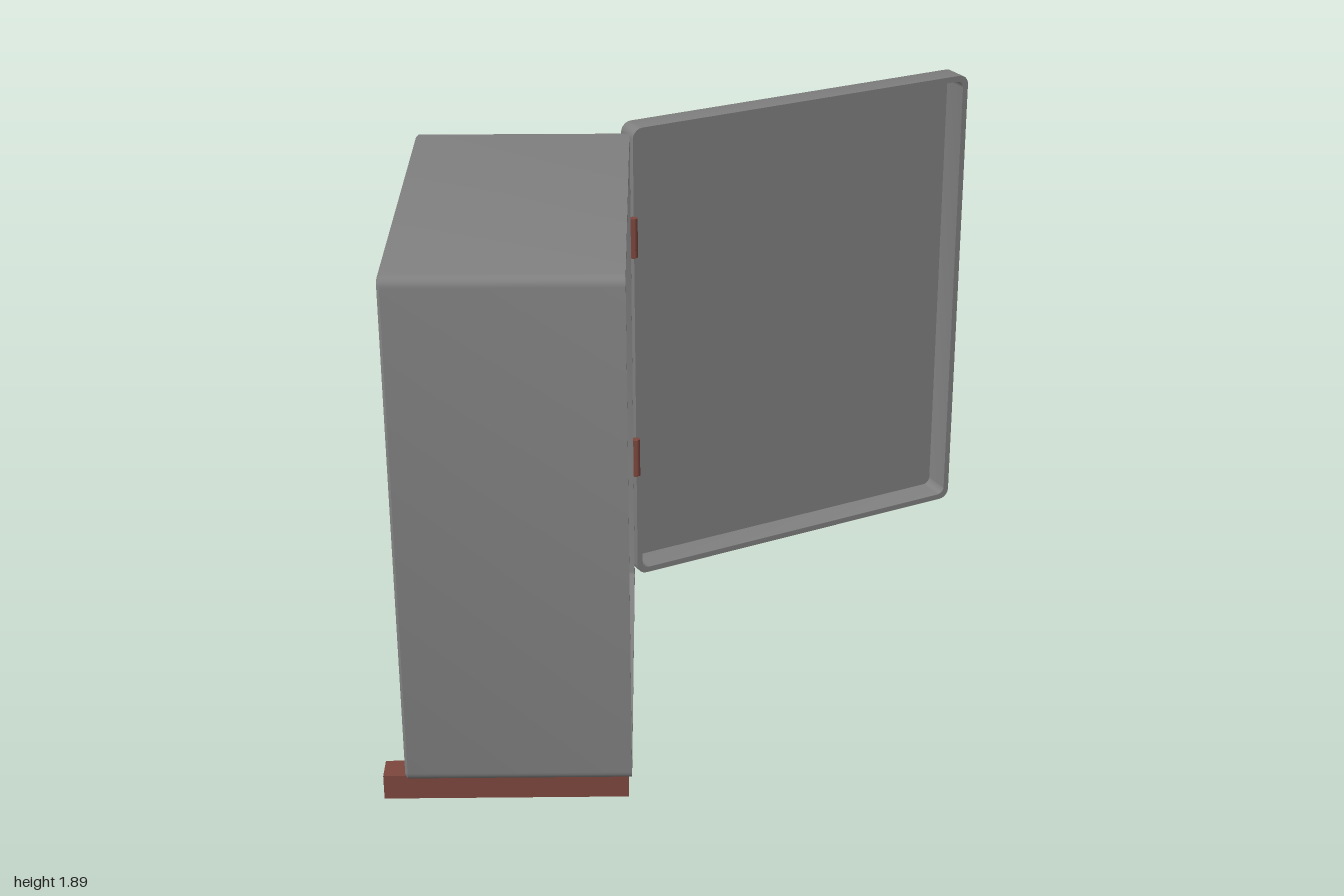
import * as THREE from 'three';
import { toCreasedNormals } from 'three/addons/utils/BufferGeometryUtils.js';

const mat = (name, color) => {
  const m = new THREE.MeshStandardMaterial({ color });
  m.name = name;
  return m;
};

export function createModel() {
  const grey = mat('grey steel', 0x808080);
  const navy = mat('dark slate', 0x3c3c54);
  const tan = mat('tan plastic', 0xd9bd92);
  const red = mat('red plastic', 0xb01014);
  const orange = mat('orange', 0xc87808);
  const blue = mat('blue cable', 0x3a76b0);
  const rust = mat('red brown primer', 0x7c463d);
  const brown = mat('brown cable', 0x8c7652);

  const add = (parent, name, geo, material, x = 0, y = 0, z = 0) => {
    const m = new THREE.Mesh(geo, material);
    m.name = name;
    m.position.set(x, y, z);
    parent.add(m);
    return m;
  };
  const group = (parent, name, x = 0, y = 0, z = 0) => {
    const g = new THREE.Group();
    g.name = name;
    g.position.set(x, y, z);
    parent.add(g);
    return g;
  };
  // box between two corners
  const block = (parent, name, material, [x0, x1], [y0, y1], [z0, z1]) =>
    add(parent, name, new THREE.BoxGeometry(x1 - x0, y1 - y0, z1 - z0), material,
      (x0 + x1) / 2, (y0 + y1) / 2, (z0 + z1) / 2);
  const poly = pts => new THREE.Shape(pts.map(p => new THREE.Vector2(...p)));
  const slab = (parent, name, shape, depth, material, x, y, z) =>
    add(parent, name, new THREE.ExtrudeGeometry(shape, { depth, bevelEnabled: false }), material, x, y, z);
  const disc = (parent, name, r, depth, material, x, y, z, sides = 24) =>
    add(parent, name, new THREE.CylinderGeometry(r, r, depth, sides).rotateX(Math.PI / 2), material, x, y, z);

  // corner-rounded rectangle, counter-clockwise
  const roundRect = (x0, x1, y0, y1, r, n = 5) => {
    const pts = [];
    [[x1 - r, y1 - r], [x0 + r, y1 - r], [x0 + r, y0 + r], [x1 - r, y0 + r]].forEach(([cx, cy], c) => {
      for (let i = 0; i <= n; i++) {
        const a = (c + i / n) * Math.PI / 2;
        pts.push([cx + r * Math.cos(a), cy + r * Math.sin(a)]);
      }
    });
    return pts;
  };
  // hollow tray: sections [inset, z, radius] run from the outside over the rim to the floor
  const tray = (x0, x1, y0, y1, sections) => {
    const pos = [], idx = [];
    let n = 0;
    for (const [s, z, r] of sections) {
      const ring = roundRect(x0 + s, x1 - s, y0 + s, y1 - s, r);
      n = ring.length;
      ring.forEach(([x, y]) => pos.push(x, y, z));
    }
    const last = sections.length - 1, c0 = n * (last + 1);
    for (const j of [0, last]) pos.push((x0 + x1) / 2, (y0 + y1) / 2, sections[j][1]);
    for (let i = 0; i < n; i++) {
      const k = (i + 1) % n;
      idx.push(c0, k, i, c0 + 1, last * n + i, last * n + k);
      for (let j = 0; j < last; j++) {
        const a = j * n + i, b = j * n + k;
        idx.push(a, b, b + n, a, b + n, a + n);
      }
    }
    const g = new THREE.BufferGeometry();
    g.setAttribute('position', new THREE.Float32BufferAttribute(pos, 3));
    g.setIndex(idx);
    return toCreasedNormals(g, 0.6);
  };
  // triangular warning sign facing +z
  const sign = (parent, size, border, fill, x, y, z) => {
    const g = group(parent, 'warningSign', x, y, z);
    const tri = s => poly([[-0.5 * s, -0.43 * s], [0.5 * s, -0.43 * s], [0.04 * s, 0.45 * s], [-0.04 * s, 0.45 * s]]);
    slab(g, 'signBorder', tri(size), 0.004, border, 0, 0, 0);
    slab(g, 'signFace', tri(size * 0.86), 0.003, fill, 0, -0.012 * size, 0.004);
    const bolt = [[0.08, 0.2], [0.01, 0.03], [0.1, 0.05], [-0.03, -0.2], [0, -0.02], [-0.1, -0.04], [0.03, 0.2]];
    slab(g, 'signBolt', poly(bolt.map(p => p.map(v => v * size))), 0.002, navy, 0, -0.02 * size, 0.007);
  };

  const model = new THREE.Group();
  model.name = 'electricalCabinet';

  // Cabinet frame: local x runs towards world -z, local z towards world +x
  const cab = group(model, 'cabinet');
  cab.rotation.y = Math.PI / 2;
  add(cab, 'housing', tray(-0.99, 0.29, 0.27, 1.89, [
    [0.008, -0.89, 0.022], [0, -0.882, 0.03], [0, -0.21, 0.03], [0.015, -0.21, 0.022],
    [0.015, -0.3, 0.022], [0.03, -0.3, 0.02], [0.03, -0.87, 0.02]]), grey);

  // Angle-iron feet
  for (const [x0, x1, leg] of [[-0.955, -0.87, -0.95], [0.165, 0.25, 0.245]]) {
    const foot = group(cab, 'foot');
    block(foot, 'footFlange', rust, [x0, x1], [0.258, 0.27], [-0.96, -0.22]);
    block(foot, 'footWeb', rust, [leg - 0.005, leg + 0.005], [0.19, 0.27], [-0.96, -0.22]);
  }
  // Gland plate and cable grommets
  block(cab, 'glandPlate', rust, [-0.75, 0], [0.26, 0.271], [-0.75, -0.35]);
  const grommet = [[0.03, 0.235], [0.045, 0.235], [0.062, 0.27], [0.066, 0.285], [0.066, 0.325], [0.055, 0.335], [0.03, 0.335], [0.03, 0.235]]
    .map(p => new THREE.Vector2(...p));
  for (const x of [-0.585, -0.34, -0.1]) {
    add(cab, 'grommet', toCreasedNormals(new THREE.LatheGeometry(grommet, 24), 0.6), navy, x, 0, -0.55);
    add(cab, 'grommetMembrane', new THREE.CylinderGeometry(0.032, 0.032, 0.02, 20), navy, x, 0.28, -0.55);
  }
  for (const x of [-0.72, -0.03]) for (const z of [-0.72, -0.38])
    add(cab, 'plateScrew', new THREE.CylinderGeometry(0.012, 0.012, 0.008, 10), rust, x, 0.258, z);

  // Upright mounting rails
  for (const x of [-0.755, 0.045]) {
    const rail = group(cab, 'uprightRail', x);
    block(rail, 'railBase', grey, [-0.062, 0.062], [0.31, 1.845], [-0.87, -0.835]);
    block(rail, 'railRidge', grey, [-0.022, 0.022], [0.42, 1.74], [-0.835, -0.8]);
  }
  // Mounting panel with two windows
  const panel = poly([[-0.83, 0.855], [0.17, 0.855], [0.17, 1.7], [-0.42, 1.7], [-0.53, 1.79], [-0.83, 1.79]]);
  for (const [y0, y1] of [[1.06, 1.28], [1.33, 1.63]])
    panel.holes.push(poly(roundRect(-0.43, -0.24, y0, y1, 0.006, 2)));
  slab(cab, 'mountingPanel', panel, 0.01, grey, 0, 0, -0.8);

  // Control unit
  const unit = group(cab, 'controlUnit', -0.665, 1.503, -0.79);
  slab(unit, 'unitCase', poly(roundRect(-0.137, 0.137, -0.187, 0.187, 0.012, 3)), 0.07, navy, 0, 0, 0);
  sign(unit, 0.17, orange, tan, 0, 0.075, 0.07);
  for (const x of [-0.06, 0, 0.06]) block(unit, 'unitSwitch', red, [x - 0.024, x + 0.024], [-0.09, -0.052], [0.07, 0.082]);
  for (const x of [-0.113, 0.113]) for (const y of [-0.163, 0.163]) disc(unit, 'unitScrew', 0.012, 0.006, grey, x, y, 0.072, 12);

  // Terminal strips: rail span, height and first block
  for (const [x0, x1, y, first] of [[-0.205, 0.16, 1.58, -0.123], [-0.205, 0.16, 1.31, -0.123], [-0.82, -0.355, 0.958, -0.675]]) {
    const strip = group(cab, 'terminalStrip', 0, y, -0.79);
    block(strip, 'stripBase', grey, [x0 + 0.015, x1 - 0.015], [-0.065, 0.065], [0, 0.01]);
    for (const s of [-0.08, 0.08]) block(strip, 'stripEdge', grey, [x0, x1], [s - 0.016, s + 0.016], [0, 0.018]);
    for (const x of [x0 + 0.04, x1 - 0.04]) disc(strip, 'stripScrew', 0.018, 0.008, grey, x, 0, 0.012, 14);
    for (let i = 0; i < 4; i++) {
      const x = first + i * 0.067;
      block(strip, 'terminal', tan, [x - 0.02, x + 0.02], [-0.072, 0.072], [0, 0.035]);
      block(strip, 'terminalRidge', tan, [x - 0.014, x + 0.014], [-0.045, 0.045], [0.035, 0.045]);
    }
  }

  // Relay and stop button
  block(cab, 'relay', navy, [-0.122, -0.04], [0.91, 1.0], [-0.79, -0.73]);
  block(cab, 'relayTab', navy, [-0.138, -0.122], [0.93, 0.98], [-0.79, -0.75]);
  block(cab, 'buttonBase', navy, [0.008, 0.138], [0.895, 1.028], [-0.79, -0.77]);
  disc(cab, 'stopButton', 0.057, 0.03, red, 0.073, 0.96, -0.757, 32);
  for (const x of [0.022, 0.124]) for (const y of [0.909, 1.014]) disc(cab, 'buttonScrew', 0.007, 0.004, grey, x, y, -0.769, 10);

  // Two rows of breakers on cover strips
  for (const y of [0.717, 0.537]) {
    const row = group(cab, 'breakerRow', 0, y, -0.77);
    slab(row, 'coverStrip', poly(roundRect(-0.957, 0.257, -0.062, 0.062, 0.02, 3)), 0.01, grey, 0, 0, 0);
    block(row, 'breakerRail', grey, [-0.905, 0.185], [-0.024, 0.024], [0.01, 0.025]);
    for (let i = 0; i < 13; i++) {
      const x = -0.835 + i * 0.0793;
      block(row, 'breaker', navy, [x - 0.028, x + 0.028], [-0.05, 0.05], [0.01, 0.045]);
      block(row, 'breakerToggle', red, [x - 0.023, x + 0.023], [-0.026, 0.026], [0.045, 0.058]);
      block(row, 'toggleLip', red, [x - 0.023, x + 0.023], [-0.004, 0.012], [0.058, 0.07]);
    }
  }

  // Cables
  const v = (x, y, z) => new THREE.Vector3(x, y, z);
  const tube = (m, curve) => add(cab, 'cable', new THREE.TubeGeometry(curve, 28, 0.01, 8), m);
  const onPanel = -0.772, gland = -0.55;
  // panel link: leaves and arrives upright, bowed sideways or down
  const link = (m, x0, y0, x1, y1, bowX = 0, bowY = 0) => {
    const ym = (y0 + y1) / 2 + bowY;
    tube(m, new THREE.CubicBezierCurve3(v(x0, y0, onPanel), v(x0 + bowX, ym, onPanel), v(x1 + bowX, ym, onPanel), v(x1, y1, onPanel)));
  };
  link(brown, -0.764, 1.33, -0.541, 1.02);
  link(blue, -0.72, 1.33, -0.608, 1.02);
  link(orange, -0.68, 1.33, -0.675, 1.02, -0.05);
  link(brown, -0.123, 1.25, -0.474, 1.02);
  link(brown, 0.011, 1.25, 0.035, 1.13);
  link(orange, -0.541, 0.9, -0.474, 0.9, 0, -0.07);
  link(brown, -0.123, 1.52, 0.011, 1.37);
  link(orange, -0.056, 1.52, -0.123, 1.37);
  link(blue, 0.011, 1.52, 0.078, 1.37);
  tube(blue, new THREE.CubicBezierCurve3(v(-0.056, 1.25, onPanel), v(-0.02, 1, onPanel), v(-0.4, 1.02, onPanel), v(-0.12, 0.94, onPanel)));
  // drop: runs behind the cover strips, then forward to a grommet
  const drop = (m, x0, y0, xm, xg) => tube(m, new THREE.CatmullRomCurve3([
    v(x0, y0, onPanel), v(xm, 0.76, -0.785), v(xm, 0.47, -0.785), v((xm + xg) / 2, 0.37, -0.65), v(xg, 0.29, gland)]));
  drop(brown, -0.675, 0.9, -0.69, -0.585);
  drop(brown, -0.608, 0.9, -0.51, -0.1);
  drop(orange, -0.1, 0.92, -0.12, -0.1);
  drop(blue, -0.055, 0.92, -0.04, -0.08);
  // tail: hangs below a grommet and bends away
  const tail = (m, x, y, dx, dz) => tube(m, new THREE.QuadraticBezierCurve3(
    v(x, 0.29, gland), v(x, 0.14 + y / 3, gland), v(x + dx, y, gland + dz)));
  tail(blue, -0.585, 0.16, -0.03, -0.03);
  tail(brown, -0.575, 0.18, -0.015, -0.015);
  tail(orange, -0.09, 0.005, -0.045, 0.03);
  tail(blue, -0.1, 0.04, 0.07, 0.035);

  // Hinges
  for (const y of [1.523, 0.728]) {
    const hinge = group(model, 'hinge', -0.2, y, -0.303);
    add(hinge, 'hingePin', new THREE.CylinderGeometry(0.013, 0.013, 0.136, 14), rust);
    block(hinge, 'hingeLeaf', rust, [-0.009, 0.004], [-0.068, 0.068], [0, 0.016]);
  }

  // Open door, hinged at the cabinet's rear edge
  const door = group(model, 'door', -0.2, 0, -0.31);
  door.rotation.y = 0.474;
  add(door, 'doorShell', tray(0, 1.29, 0.27, 1.89, [
    [0.035, -0.115, 0.02], [0.012, -0.107, 0.03], [0, -0.085, 0.035], [0, 0, 0.035],
    [0.02, 0, 0.025], [0.02, -0.097, 0.025]]), grey);
  const outside = group(door, 'doorOutside', 0, 0, -0.115);
  outside.rotation.y = Math.PI;
  sign(outside, 0.35, navy, orange, -0.66, 1.395, 0);
  for (const y of [1.62, 0.53]) {
    const lock = group(outside, 'lock', -1.13, y, 0);
    disc(lock, 'lockFlange', 0.054, 0.024, grey, 0, 0, 0.012);
    disc(lock, 'lockBarrel', 0.036, 0.016, grey, 0, 0, 0.03);
    disc(lock, 'lockKeyhole', 0.018, 0.004, navy, 0, 0, 0.039, 3);
  }
  return model;
}
